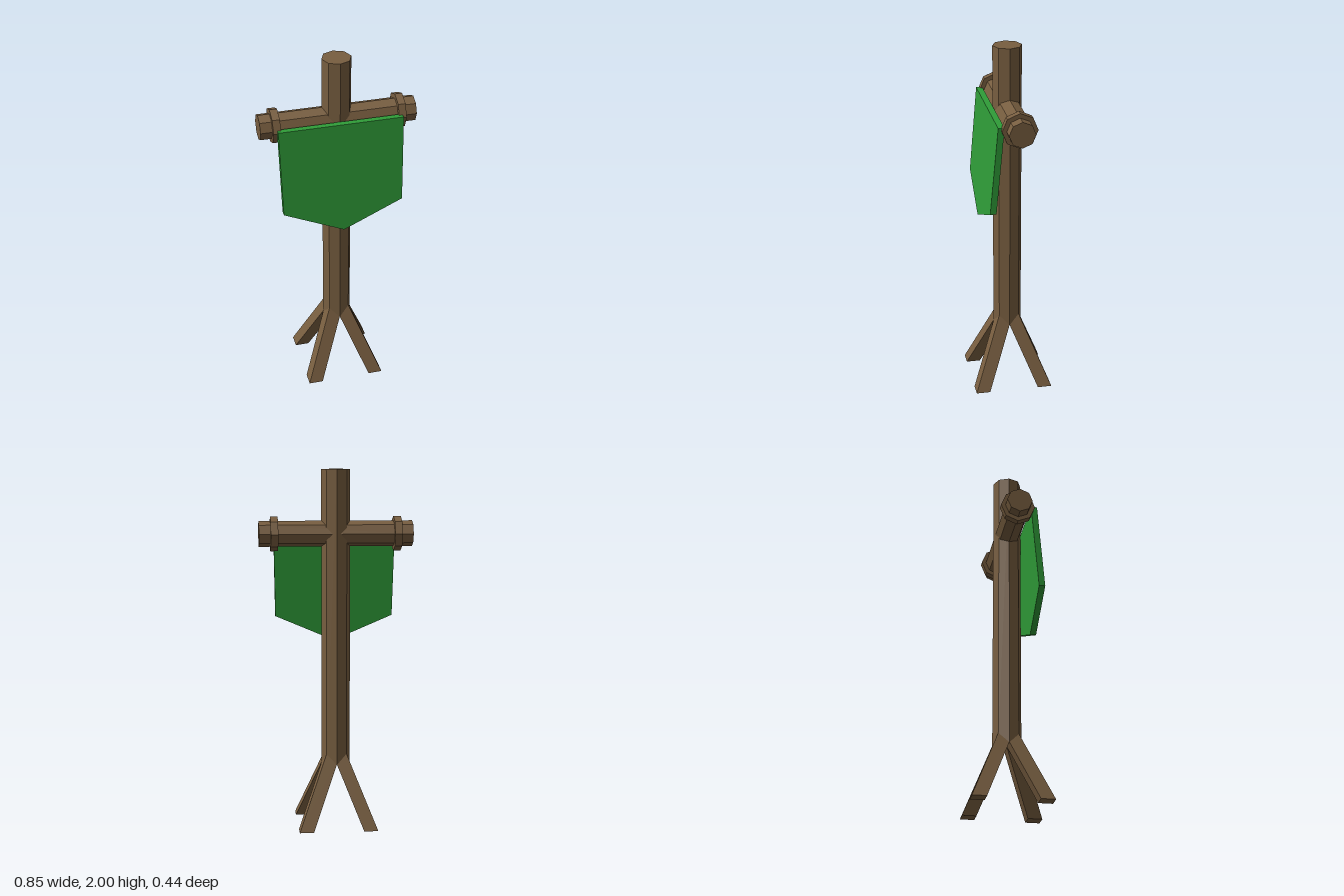
import * as THREE from 'three';

export function createModel() {
  const model = new THREE.Group();
  model.name = 'bannerStand';

  const wood = new THREE.MeshStandardMaterial({ color: 0x785e40, flatShading: true });
  wood.name = 'wood';
  const cloth = new THREE.MeshStandardMaterial({ color: 0x2f9c38, flatShading: true });
  cloth.name = 'greenCloth';

  const add = (name, geometry, material) => {
    const mesh = new THREE.Mesh(geometry, material);
    mesh.name = name;
    model.add(mesh);
    return mesh;
  };

  // Octagonal upright
  const poleBottom = 0.35, poleTop = 2;
  add('pole', new THREE.CylinderGeometry(0.08, 0.08, poleTop - poleBottom, 8), wood)
    .position.y = (poleTop + poleBottom) / 2;

  // Crossbar with a collar near each end
  const barY = 1.646;
  const rod = (name, radius, length, x) => {
    const mesh = add(name, new THREE.CylinderGeometry(radius, radius, length, 8), wood);
    mesh.rotation.z = Math.PI / 2;
    mesh.position.set(x, barY, 0);
  };
  rod('crossbar', 0.071, 0.853, 0);
  rod('leftCollar', 0.096, 0.041, 0.342);
  rod('rightCollar', 0.096, 0.041, -0.342);

  // Four splayed square legs: boxes sheared outward along the diagonals
  const legHeight = 0.45, slope = 0.4;
  for (const sx of [1, -1]) {
    for (const sz of [1, -1]) {
      const leg = new THREE.BoxGeometry(0.079, legHeight, 0.079);
      leg.translate(0, legHeight / 2, 0);
      const p = leg.attributes.position;
      for (let i = 0; i < p.count; i++) {
        const offset = 0.18 - slope * p.getY(i);
        p.setX(i, p.getX(i) + sx * offset);
        p.setZ(i, p.getZ(i) + sz * offset);
      }
      leg.computeVertexNormals();
      add((sz > 0 ? 'front' : 'back') + (sx > 0 ? 'Left' : 'Right') + 'Leg', leg, wood);
    }
  }

  // Pointed banner, leaning forward towards its lower tip
  const outline = new THREE.Shape([
    [-0.341, 1.66], [-0.332, 1.173], [0, 1.03], [0.332, 1.173], [0.341, 1.66],
  ].map(([x, y]) => new THREE.Vector2(x, y)));
  const banner = new THREE.ExtrudeGeometry(outline, { depth: 0.034, bevelEnabled: false });
  const b = banner.attributes.position;
  for (let i = 0; i < b.count; i++) {
    b.setZ(i, b.getZ(i) + 0.078 + (1.66 - b.getY(i)) * 0.088);
  }
  banner.computeVertexNormals();
  add('banner', banner, cloth);

  return model;
}
